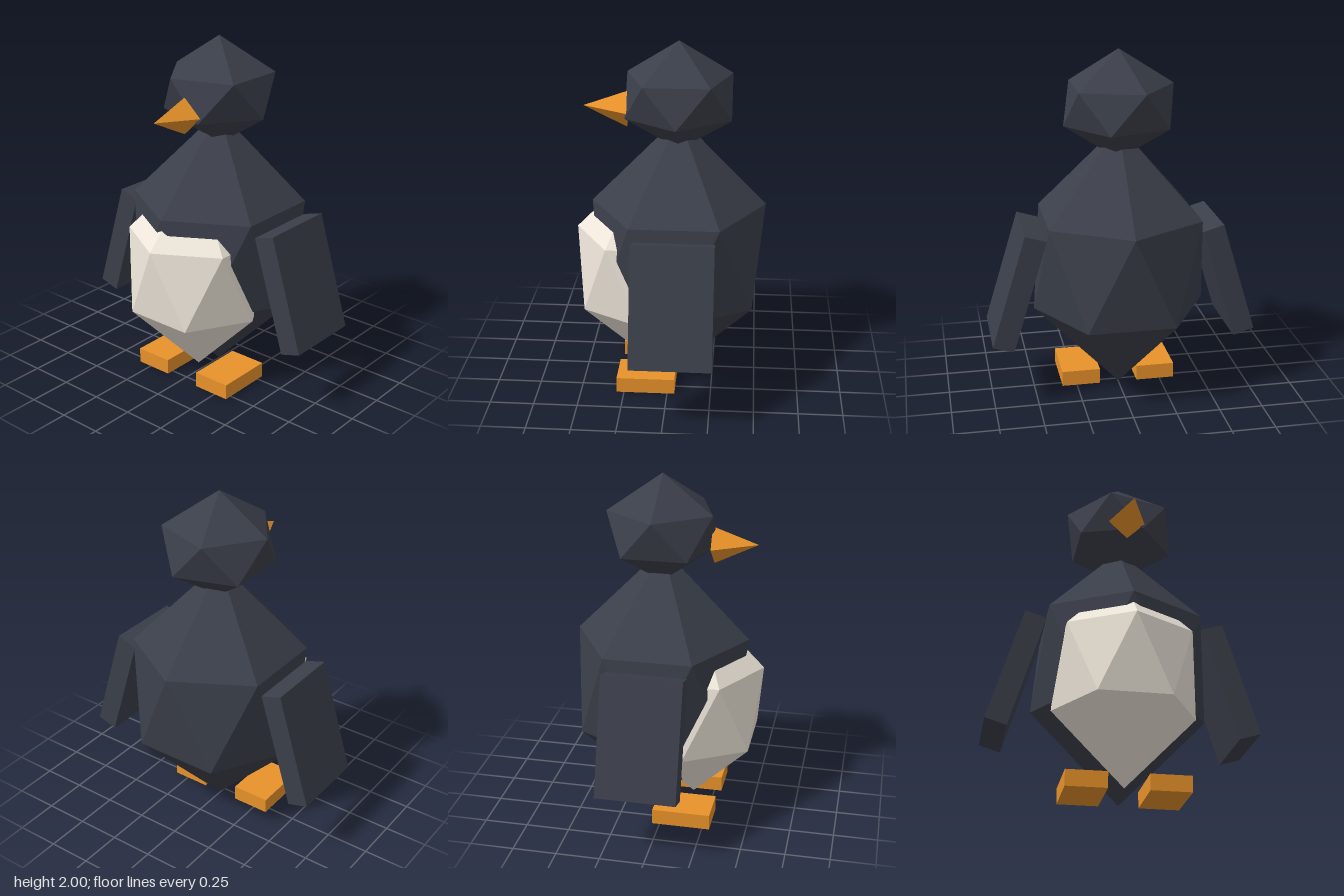
import * as THREE from 'three';

const material = (color) => new THREE.MeshStandardMaterial({ color, flatShading: true });

// Faceted gem: two apexes and two rings, the lower ring turned half a step
function gem(sides, radius, halfHeight, ringHeight, start) {
  const corner = (i, y, shift) => {
    const a = start + ((i + shift) / sides) * Math.PI * 2;
    return [radius * Math.sin(a), y, radius * Math.cos(a)];
  };
  const top = [0, halfHeight, 0];
  const bottom = [0, -halfHeight, 0];
  const points = [];
  for (let i = 0; i < sides; i++) {
    const u0 = corner(i, ringHeight, 0);
    const u1 = corner(i + 1, ringHeight, 0);
    const l0 = corner(i, -ringHeight, 0.5);
    const l1 = corner(i + 1, -ringHeight, 0.5);
    points.push(top, u0, u1, u0, l0, u1, l0, l1, u1, bottom, l1, l0);
  }
  const geometry = new THREE.BufferGeometry();
  geometry.setAttribute('position', new THREE.Float32BufferAttribute(points.flat(), 3));
  geometry.computeVertexNormals();
  return geometry;
}

export function createModel() {
  const model = new THREE.Group();
  model.name = 'penguin';
  const dark = material(0x3b3f4a);
  const cream = material(0xeee6da);
  const orange = material(0xe8922a);

  const add = (name, geometry, mat, x, y, z) => {
    const mesh = new THREE.Mesh(geometry, mat);
    mesh.name = name;
    mesh.position.set(x, y, z);
    model.add(mesh);
    return mesh;
  };

  // Body, belly and head
  add('body', gem(6, 0.495, 0.782, 0.275, 0), dark, 0, 0.789, -0.045);
  add('belly', gem(6, 0.4, 0.63, 0.22, 0), cream, 0, 0.68, 0.14);
  add('head', gem(5, 0.31, 0.31, 0.11, -Math.PI / 2), dark, 0, 1.69, -0.045);

  // Four-sided beak pointing forward, tipped slightly up
  const beak = add('beak', new THREE.ConeGeometry(0.105, 0.25, 4), orange, 0, 1.618, 0.364);
  beak.rotation.x = Math.PI / 2 - 0.06;

  // Wings and feet, mirrored
  for (const [side, s] of [['left', 1], ['right', -1]]) {
    const wing = add(side + 'Wing', new THREE.BoxGeometry(0.125, 0.672, 0.45), dark, s * 0.597, 0.69, -0.045);
    wing.rotation.z = s * 0.294;
    add(side + 'Foot', new THREE.BoxGeometry(0.225, 0.09, 0.335), orange, s * 0.223, 0.045, 0.125);
  }
  return model;
}
